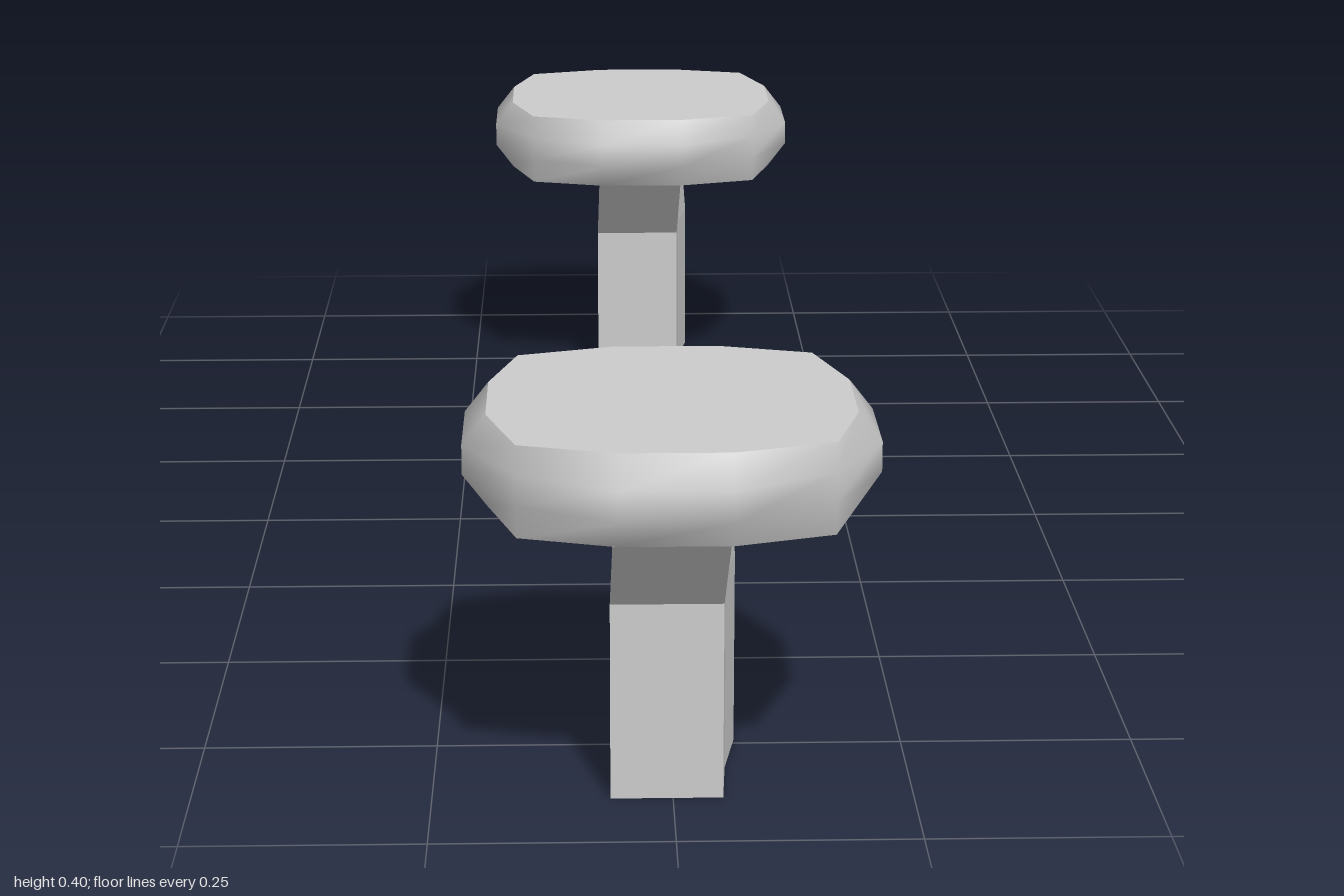
import * as THREE from 'three';

// Skins rings of [x, y, z] (counter-clockwise from above, bottom to top) and closes both ends
// with their own vertices so the rims stay sharp.
function loft(rings) {
  const n = rings[0].length;
  const pos = rings.flat(2);
  const idx = [];
  for (let r = 0; r < rings.length - 1; r++) {
    for (let i = 0; i < n; i++) {
      const j = (i + 1) % n;
      const a = r * n + i, b = r * n + j, c = b + n, d = a + n;
      idx.push(a, b, c, a, c, d);
    }
  }
  for (const top of [false, true]) {
    const ring = top ? rings[rings.length - 1] : rings[0];
    const base = pos.length / 3;
    pos.push(...ring.flat(), 0, ring[0][1], 0);
    for (let i = 0; i < n; i++) {
      const a = base + i, b = base + (i + 1) % n;
      idx.push(base + n, top ? a : b, top ? b : a);
    }
  }
  const g = new THREE.BufferGeometry();
  g.setAttribute('position', new THREE.Float32BufferAttribute(pos, 3));
  g.setIndex(idx);
  g.computeVertexNormals();
  return g;
}

// Twelve-sided cap outline: the diagonal corners stay put, the flats move with reach
function capRing(y, reach) {
  const ring = [];
  for (let q = 0; q < 4; q++) {
    const c = Math.round(Math.cos(q * Math.PI / 2)), s = Math.round(Math.sin(q * Math.PI / 2));
    for (const [u, v] of [[reach, -0.058], [reach, 0.058], [0.158, 0.161]]) {
      ring.push([u * c - v * s, y, -(u * s + v * c)]);
    }
  }
  return ring;
}

// Slightly bent stem section, given as [x, z]
const section = [[0.052, 0.108], [0.057, 0.03], [0.07, -0.045], [0.07, -0.108],
  [-0.043, -0.108], [-0.054, 0.04], [-0.065, 0.108]];
// The wider section under the cap
const flare = [[0.055, 0.19], [0.057, 0.03], [0.063, -0.045], [0.063, -0.19],
  [-0.047, -0.19], [-0.054, 0.04], [-0.063, 0.19]];
const stemRing = (pts, y) => pts.map(([x, z]) => [x, y, z]);

export function createModel() {
  const model = new THREE.Group();
  model.name = 'pairOfKnobs';
  const smooth = new THREE.MeshStandardMaterial({ color: 0xcccccc });
  const flat = new THREE.MeshStandardMaterial({ color: 0xcccccc, flatShading: true });
  const capGeo = loft([capRing(0.305, 0.19), capRing(0.338, 0.215), capRing(0.37, 0.215), capRing(0.402, 0.19)]);
  const stemGeo = loft([stemRing(section, 0), stemRing(section, 0.214), stemRing(flare, 0.306)]);

  for (const [name, z] of [['frontKnob', 0.785], ['backKnob', -0.785]]) {
    const knob = new THREE.Group();
    knob.name = name;
    const cap = new THREE.Mesh(capGeo, smooth);
    cap.name = 'cap';
    const stem = new THREE.Mesh(stemGeo, flat);
    stem.name = 'stem';
    knob.add(cap, stem);
    knob.position.z = z;
    model.add(knob);
  }
  return model;
}
